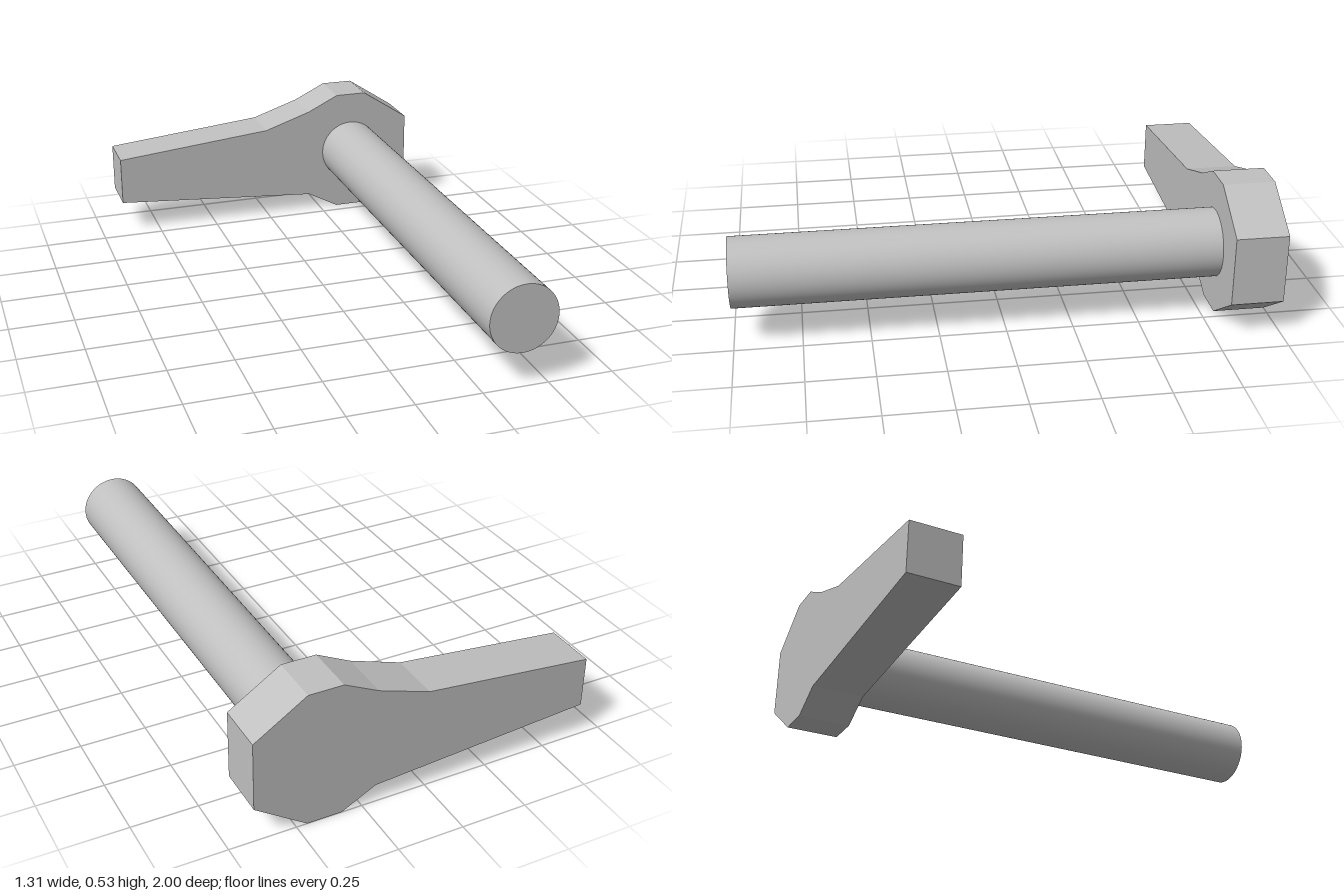
import * as THREE from 'three';

export function createModel() {
  const group = new THREE.Group();
  const grey = new THREE.MeshStandardMaterial({ color: 0xc0c0c0 });
  grey.name = 'light grey';

  // Tapered lever plate with a faceted head
  const outline = [
    [-0.656, 0.133], [0.197, 0.07], [0.328, 0], [0.459, 0], [0.656, 0.133],
    [0.656, 0.397], [0.459, 0.526], [0.328, 0.526], [0.197, 0.462],
    [0, 0.396], [-0.656, 0.33],
  ].map(([x, y]) => new THREE.Vector2(x, y));
  const lever = new THREE.Mesh(
    new THREE.ExtrudeGeometry(new THREE.Shape(outline), { depth: 0.197, bevelEnabled: false }),
    grey,
  );
  lever.name = 'lever';
  lever.position.z = -1;

  // Round shaft running forward from the head
  const shaftLength = 1.803;
  const shaft = new THREE.Mesh(
    new THREE.CylinderGeometry(0.131, 0.131, shaftLength, 64).rotateX(Math.PI / 2),
    grey,
  );
  shaft.name = 'shaft';
  shaft.position.set(0.393, 0.264, 1 - shaftLength / 2);

  group.add(lever, shaft);
  return group;
}
